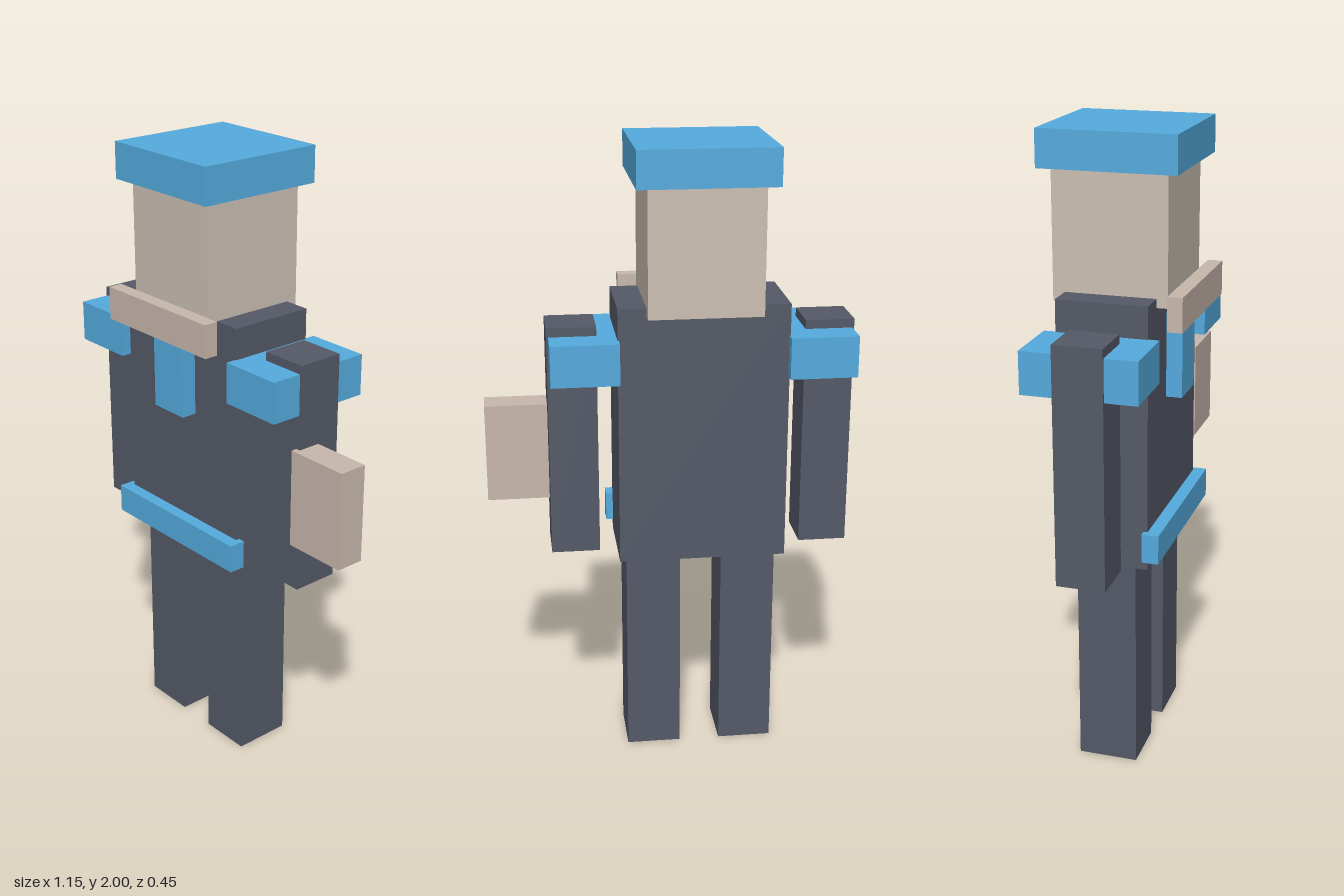
import * as THREE from 'three';

const paint = (color) => new THREE.MeshStandardMaterial({ color, flatShading: true });

export function createModel() {
  const model = new THREE.Group();
  const dark = paint(0x555a68);
  const blue = paint(0x55acdf);
  const skin = paint(0xccc0b4);
  const tan = paint(0xc8b8ad);

  // Box given by its extents along each axis
  function block(name, material, [x0, x1], [y0, y1], [z0, z1]) {
    const mesh = new THREE.Mesh(new THREE.BoxGeometry(x1 - x0, y1 - y0, z1 - z0), material);
    mesh.position.set((x0 + x1) / 2, (y0 + y1) / 2, (z0 + z1) / 2);
    mesh.name = name;
    model.add(mesh);
  }

  // The body's middle plane; the held item shifts it off x = 0
  const mid = -0.098;
  const centred = (width) => [mid - width / 2, mid + width / 2];

  // Limbs and shoulder pads, mirrored about the middle plane
  for (const [side, s] of [['left', 1], ['right', -1]]) {
    const span = (inner, outer) => [mid + s * inner, mid + s * outer].sort((a, b) => a - b);
    block(side + 'Leg', dark, span(0.066, 0.24), [0, 0.695], [-0.105, 0.083]);
    block(side + 'Arm', dark, span(0.323, 0.476), [0.71, 1.45], [-0.09, 0.062]);
    block(side + 'ShoulderPad', blue, span(0.26, 0.47), [1.292, 1.422], [-0.19, 0.162]);
  }

  // Torso with belt and tie
  block('torso', dark, centred(0.528), [0.694, 1.52], [-0.153, 0.128]);
  block('belt', blue, centred(0.572), [0.728, 0.82], [0.115, 0.168]);
  block('tie', blue, centred(0.138), [1.187, 1.45], [0.125, 0.178]);

  // Head, hat and the bar in front of the chin
  block('head', skin, centred(0.352), [1.493, 1.886], [-0.19, 0.162]);
  block('hat', blue, centred(0.424), [1.886, 2], [-0.224, 0.198]);
  block('chinBar', tan, centred(0.468), [1.44, 1.545], [0.176, 0.222]);

  // Flat item at the left arm
  block('heldPanel', tan, [0.363, 0.574], [0.868, 1.183], [-0.012, 0.081]);

  return model;
}
